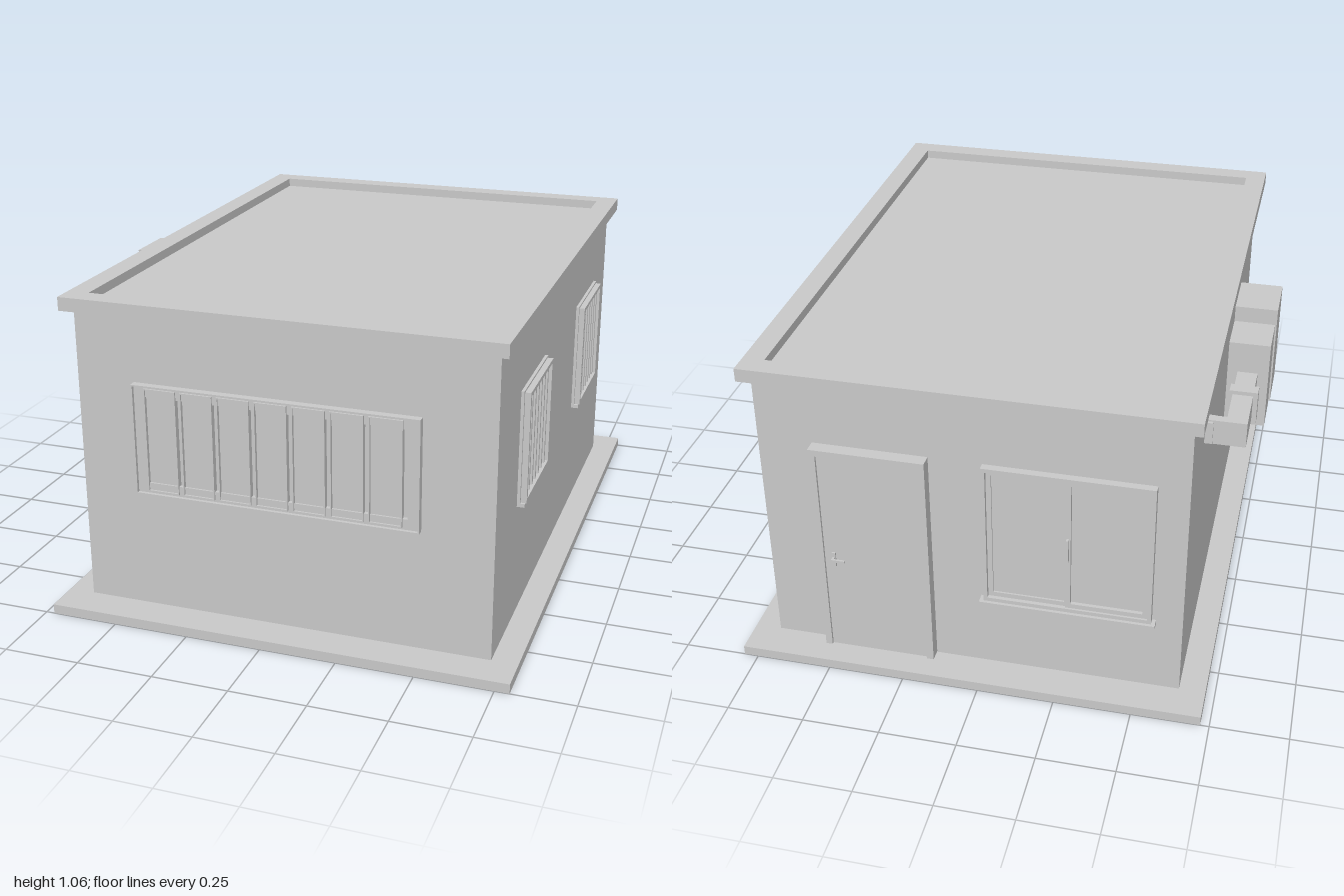
import * as THREE from 'three';

const grey = new THREE.MeshStandardMaterial({ color: 0xcccccc, flatShading: true });

function add(parent, name, geometry) {
  const mesh = new THREE.Mesh(geometry, grey);
  mesh.name = name;
  parent.add(mesh);
  return mesh;
}

// Box given by its limits on each axis
function box(parent, name, x0, x1, y0, y1, z0, z1) {
  const g = new THREE.BoxGeometry(x1 - x0, y1 - y0, z1 - z0);
  g.translate((x0 + x1) / 2, (y0 + y1) / 2, (z0 + z1) / 2);
  return add(parent, name, g);
}

// Rectangular ring of border b, extruded along z
function ringGeometry(x0, x1, y0, y1, b, z0, z1) {
  const rect = (C, l, r, d, u) => {
    const c = new C();
    c.moveTo(l, d); c.lineTo(r, d); c.lineTo(r, u); c.lineTo(l, u); c.closePath();
    return c;
  };
  const shape = rect(THREE.Shape, x0, x1, y0, y1);
  shape.holes.push(rect(THREE.Path, x0 + b, x1 - b, y0 + b, y1 - b));
  const g = new THREE.ExtrudeGeometry(shape, { depth: z1 - z0, bevelEnabled: false });
  return g.translate(0, 0, z0);
}

// Group lying on a wall: local x runs along the wall, local z points outwards
function onWall(parent, name, x, z, turn) {
  const g = new THREE.Group();
  g.name = name;
  g.position.set(x, 0, z);
  g.rotation.y = turn;
  parent.add(g);
  return g;
}

export function createModel() {
  const model = new THREE.Group();
  model.name = 'building';

  // Slab, walls and roof with a raised rim
  box(model, 'groundSlab', -0.722, 0.797, 0, 0.032, -1, 1);
  box(model, 'walls', -0.637, 0.712, 0.032, 1.032, -0.885, 0.885);
  const rim = ringGeometry(-0.667, 0.743, -0.927, 0.927, 0.07, 1.018, 1.062);
  rim.rotateX(-Math.PI / 2);
  add(model, 'roofRim', rim);

  // Long front window with seven panes
  const front = onWall(model, 'frontWindow', 0, 0.885, 0);
  add(front, 'outerRim', ringGeometry(-0.445, 0.485, 0.43, 0.797, 0.005, 0, 0.025));
  add(front, 'frame', ringGeometry(-0.44, 0.48, 0.435, 0.792, 0.034, 0, 0.014));
  const paneLeft = -0.405, pitch = 0.1215;
  for (let i = 0; i < 7; i++) {
    const x = paneLeft + i * pitch;
    add(front, 'paneFrame', ringGeometry(x, x + 0.106, 0.442, 0.786, 0.004, 0, 0.02));
    box(front, 'pane', x + 0.004, x + 0.102, 0.446, 0.782, 0, 0.008);
  }

  // Barred side windows
  for (const z of [0.423, -0.475]) {
    const w = onWall(model, 'sideWindow', 0.712, z, Math.PI / 2);
    add(w, 'flange', ringGeometry(-0.177, 0.177, 0.42, 0.803, 0.022, 0, 0.01));
    add(w, 'frame', ringGeometry(-0.168, 0.168, 0.43, 0.797, 0.013, 0, 0.029));
    box(w, 'sill', -0.177, 0.177, 0.418, 0.43, 0, 0.025);
    box(w, 'glass', -0.157, 0.157, 0.442, 0.785, 0, 0.003);
    for (let i = 0; i < 7; i++) {
      const x = -0.138 + i * 0.046;
      box(w, 'bar', x - 0.006, x + 0.006, 0.442, 0.785, 0.003, 0.02);
    }
  }

  // Back door; local x is mirrored on this wall
  const door = onWall(model, 'backDoor', 0, -0.885, Math.PI);
  box(door, 'jamb', -0.535, -0.513, 0.035, 0.803, 0, 0.042);
  box(door, 'jamb', -0.187, -0.165, 0.035, 0.803, 0, 0.042);
  box(door, 'lintel', -0.513, -0.187, 0.781, 0.803, 0, 0.042);
  box(door, 'doorLeaf', -0.513, -0.187, 0.035, 0.781, 0, 0.033);
  box(door, 'handlePlate', -0.488, -0.476, 0.362, 0.415, 0.033, 0.039);
  box(door, 'handleNeck', -0.486, -0.478, 0.391, 0.399, 0.039, 0.052);
  box(door, 'handleLever', -0.486, -0.442, 0.391, 0.399, 0.048, 0.055);

  // Back window with two sashes
  const back = onWall(model, 'backWindow', 0, -0.885, Math.PI);
  add(back, 'frame', ringGeometry(0.005, 0.54, 0.3, 0.803, 0.013, 0, 0.025));
  box(back, 'sill', -0.008, 0.553, 0.287, 0.3, 0, 0.035);
  for (const [x, d] of [[0.018, 0.012], [0.267, 0.018]]) {
    add(back, 'sash', ringGeometry(x, x + 0.26, 0.313, 0.79, 0.016, 0, d));
    box(back, 'glass', x + 0.016, x + 0.244, 0.329, 0.774, 0, 0.006);
  }
  box(back, 'sashHandle', 0.27, 0.278, 0.5, 0.58, 0.018, 0.03);

  // Ventilation duct with two housings on the right-hand wall
  const duct = new THREE.Group();
  duct.name = 'ventilationDuct';
  model.add(duct);
  box(duct, 'rearElbow', -0.765, -0.637, 0.775, 0.86, -0.58, -0.55);
  box(duct, 'rearPipe', -0.765, -0.7, 0.775, 0.86, -0.55, -0.265);
  box(duct, 'pipeCollar', -0.78, -0.69, 0.762, 0.873, -0.412, -0.37);
  box(duct, 'smallHousing', -0.8, -0.667, 0.665, 0.965, -0.267, -0.12);
  box(duct, 'housingLink', -0.785, -0.682, 0.7, 0.93, -0.12, -0.065);
  box(duct, 'largeHousing', -0.803, -0.663, 0.642, 0.99, -0.065, 0.115);
  box(duct, 'frontPipe', -0.762, -0.707, 0.768, 0.865, 0.115, 0.25);
  box(duct, 'frontElbow', -0.748, -0.637, 0.79, 0.845, 0.31, 0.34);
  for (const z of [-0.565, 0.325]) {
    box(duct, 'wallFlange', -0.662, -0.637, 0.78, 0.855, z - 0.025, z + 0.025);
  }
  // Pipe narrows towards the front elbow
  const taper = new THREE.BoxGeometry(0.055, 0.097, 0.06);
  const p = taper.attributes.position;
  for (let i = 0; i < p.count; i++) {
    if (p.getZ(i) > 0) p.setXY(i, p.getX(i) * 0.5, p.getY(i) * 0.56);
  }
  taper.translate(-0.7345, 0.8165, 0.28);
  taper.computeVertexNormals();
  add(duct, 'taper', taper);

  return model;
}
